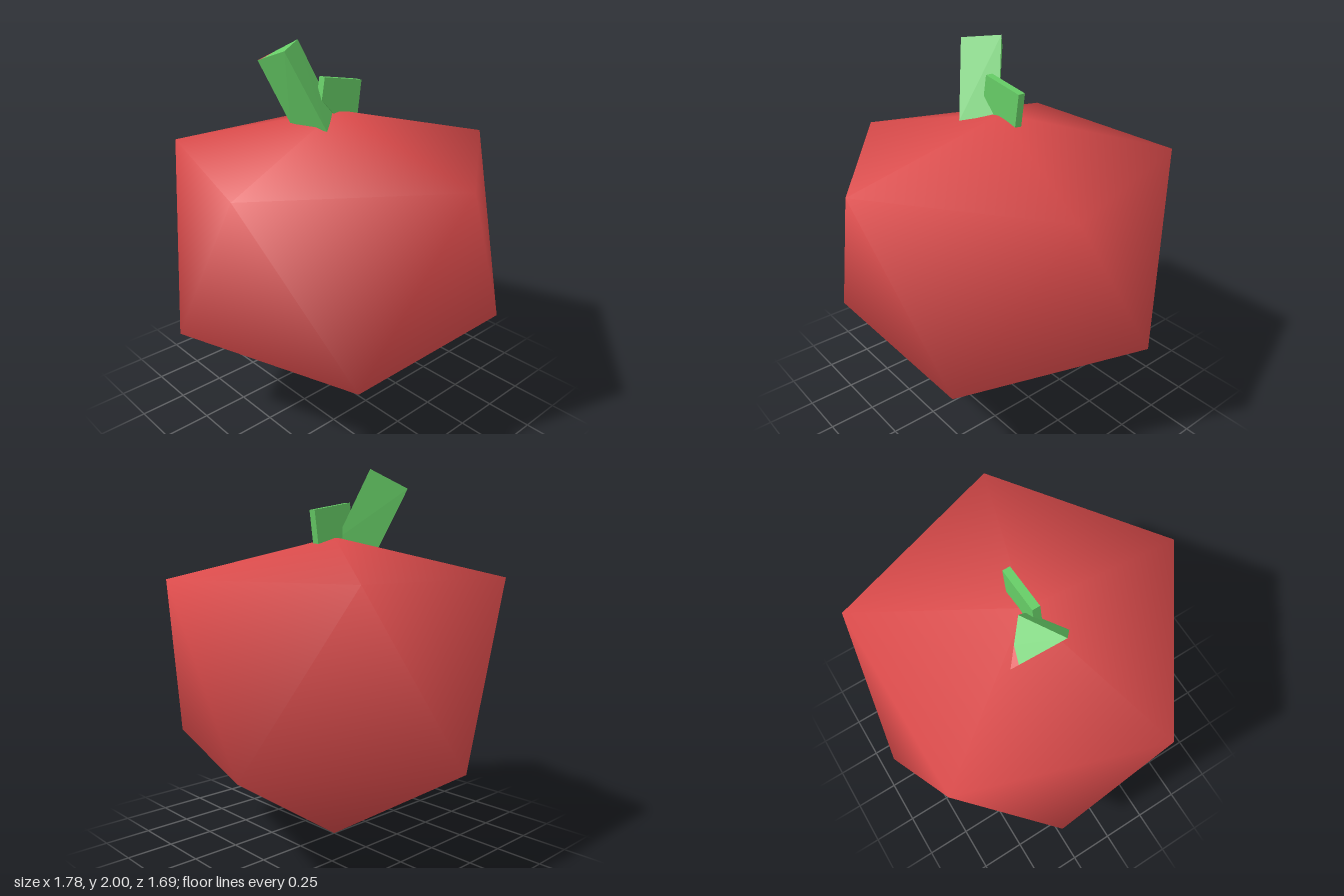
import * as THREE from 'three';

const red = new THREE.MeshStandardMaterial({ color: 0xde4c4c });
red.name = 'apple red';
const green = new THREE.MeshStandardMaterial({ color: 0x66cc66 });
green.name = 'stem green';

function named(name, geometry, material) {
  const mesh = new THREE.Mesh(geometry, material);
  mesh.name = name;
  return mesh;
}

// Faceted outline with smooth shading: two offset rings of five and two poles
function bodyGeometry() {
  const pos = [0, 1.65, 0, 0, 0, 0], index = [];
  for (let i = 0; i < 5; i++) {
    for (const [turn, y] of [[0, 1.445], [0.5, 0.56]]) {
      const a = (i + turn) * Math.PI * 0.4;
      pos.push(0.89 * Math.cos(a), y, 0.89 * Math.sin(a));
    }
    const u = 2 + 2 * i, l = u + 1, u2 = 2 + 2 * ((i + 1) % 5), l2 = u2 + 1;
    index.push(0, u2, u, u, u2, l, l, u2, l2, l, l2, 1);
  }
  const g = new THREE.BufferGeometry();
  g.setAttribute('position', new THREE.Float32BufferAttribute(pos, 3));
  g.setIndex(index);
  g.computeVertexNormals();
  return g;
}

// Flat-shaded triangles from a list of corners
function flatGeometry(corners) {
  const g = new THREE.BufferGeometry().setFromPoints(corners);
  g.computeVertexNormals();
  return g;
}

export function createModel() {
  const group = new THREE.Group();
  group.add(named('body', bodyGeometry(), red));

  // Leaning three-sided stem
  const V = (x, y, z) => new THREE.Vector3(x, y, z);
  const top = [V(0, 1.975, 0.325), V(-0.25, 1.9, 0.295), V(-0.12, 2, 0.145)];
  const base = [V(0.13, 1.595, 0.18), V(-0.14, 1.59, 0.19), V(0, 1.64, 0.02)];
  const faces = [base[0], base[1], base[2]];
  for (let i = 0; i < 3; i++) {
    const j = (i + 1) % 3;
    faces.push(top[i], top[j], base[j], top[i], base[j], base[i]);
  }
  // Cut end of the stem, with a small red corner
  const [a, b, c] = top;
  const ab = b.clone().lerp(a, 0.15), cb = b.clone().lerp(c, 0.45);
  faces.push(a, c, cb, a, cb, ab);
  group.add(named('stem', flatGeometry(faces), green));
  group.add(named('stemTipCorner', flatGeometry([ab, cb, b]), red));

  // Thin upright leaf behind the stem, outlined in z and y
  const outline = [[0.095, 1.83], [-0.155, 1.785], [-0.13, 1.61], [0.03, 1.635], [0.115, 1.72]];
  const leaf = new THREE.ExtrudeGeometry(
    new THREE.Shape(outline.map(([z, y]) => new THREE.Vector2(z, y))),
    { depth: 0.04, bevelEnabled: false });
  leaf.translate(0, 0, -0.02).rotateY(-Math.PI / 2);
  group.add(named('leaf', leaf, green));
  return group;
}
